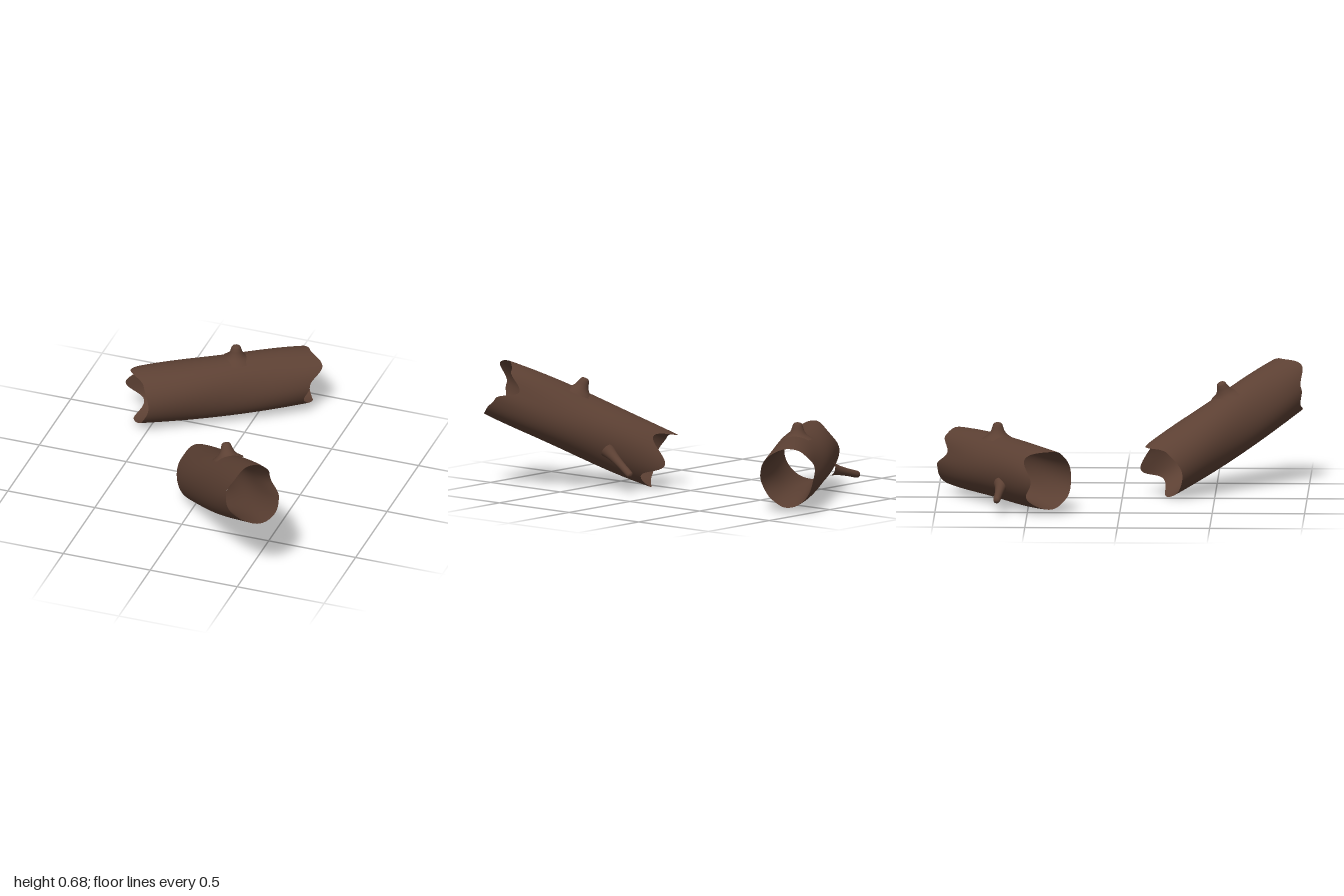
import * as THREE from 'three';

const bark = new THREE.MeshStandardMaterial({ color: 0x5c4033 });
bark.name = 'bark brown';

// Ragged rims: [degrees from the top towards +z, position along the log]
const rootRim = [[0, -0.51], [45, -0.46], [90, -0.445], [135, -0.47], [185, -0.49],
  [228, -0.41], [270, -0.505], [315, -0.385]];
const crownRim = [[0, 0.485], [45, 0.53], [85, 0.45], [115, 0.42], [145, 0.45], [180, 0.5],
  [225, 0.5], [255, 0.48], [287, 0.375], [320, 0.46]];

// Smooth periodic interpolation between rim points
function rimAt(rim, deg) {
  for (let k = 0; k < rim.length; k++) {
    const [a0, t0] = rim[k];
    const next = rim[(k + 1) % rim.length];
    const a1 = k + 1 < rim.length ? next[0] : 360;
    if (deg >= a0 && deg < a1) {
      const s = (1 - Math.cos(Math.PI * (deg - a0) / (a1 - a0))) / 2;
      return t0 + (next[1] - t0) * s;
    }
  }
  return rim[0][1];
}

// Tube wall along x; the wall thins to nothing at both rims
function wallGeometry(inner) {
  const around = 96, along = 24, pos = [], idx = [];
  for (let j = 0; j <= along; j++) {
    const v = j / along;
    const end = Math.pow(Math.abs(2 * v - 1), 3);
    for (let i = 0; i < around; i++) {
      const deg = 360 * i / around, phi = deg * Math.PI / 180;
      const x0 = rimAt(rootRim, deg), x1 = rimAt(crownRim, deg);
      const x = x0 + (x1 - x0) * v;
      const shrink = 0.01 * end + (inner ? 0.034 * (1 - end) : 0);
      const bump = 0.003 * Math.sin(3 * phi + 7 * x);
      pos.push(x, (0.169 - shrink + bump) * Math.cos(phi), (0.156 - shrink + bump) * Math.sin(phi));
    }
  }
  for (let j = 0; j < along; j++) {
    for (let i = 0; i < around; i++) {
      const n = (i + 1) % around;
      const a = j * around + i, b = j * around + n, c = a + around, d = b + around;
      if (inner) idx.push(a, c, b, b, c, d);
      else idx.push(a, b, c, b, d, c);
    }
  }
  const geo = new THREE.BufferGeometry();
  geo.setAttribute('position', new THREE.Float32BufferAttribute(pos, 3));
  geo.setIndex(idx);
  geo.computeVertexNormals();
  return geo;
}

// Round branch turned from [radius, height] points and aimed from one point to another
function branch(name, profile, from, to) {
  const curve = new THREE.SplineCurve(profile.map(([r, h]) => new THREE.Vector2(r, h)));
  const pts = curve.getPoints(24).map((p) => new THREE.Vector2(Math.max(p.x, 0), p.y));
  const mesh = new THREE.Mesh(new THREE.LatheGeometry(pts, 24), bark);
  mesh.name = name;
  mesh.position.copy(from);
  mesh.quaternion.setFromUnitVectors(new THREE.Vector3(0, 1, 0), to.clone().sub(from).normalize());
  return mesh;
}

function log(name) {
  const group = new THREE.Group();
  group.name = name;
  for (const inner of [false, true]) {
    const wall = new THREE.Mesh(wallGeometry(inner), bark);
    wall.name = inner ? 'innerWall' : 'outerBark';
    group.add(wall);
  }
  // Short knot on top
  group.add(branch('topKnot',
    [[0.085, 0], [0.052, 0.022], [0.036, 0.045], [0.028, 0.068], [0.02, 0.084], [0, 0.09]],
    new THREE.Vector3(0.075, 0.152, 0), new THREE.Vector3(0.075, 0.25, 0)));
  // Broken side branch near the root end
  group.add(branch('sideBranch',
    [[0.042, 0], [0.033, 0.03], [0.026, 0.07], [0.021, 0.13], [0.019, 0.205], [0.012, 0.22], [0, 0.225]],
    new THREE.Vector3(-0.19, -0.05, -0.137), new THREE.Vector3(-0.36, -0.108, -0.272)));
  return group;
}

export function createModel() {
  const model = new THREE.Group();
  model.name = 'hollowLogs';

  // Log lying flat at the back
  const lying = log('lyingLog');
  lying.position.set(-0.174, 0.19, -0.63);
  lying.rotation.set(0, 0.571, 0);

  // Log tilted upwards at the front
  const tilted = log('tiltedLog');
  tilted.position.set(0.28, 0.343, 0.547);
  tilted.rotation.set(0, -0.894, 0.415);

  model.add(lying, tilted);
  return model;
}
